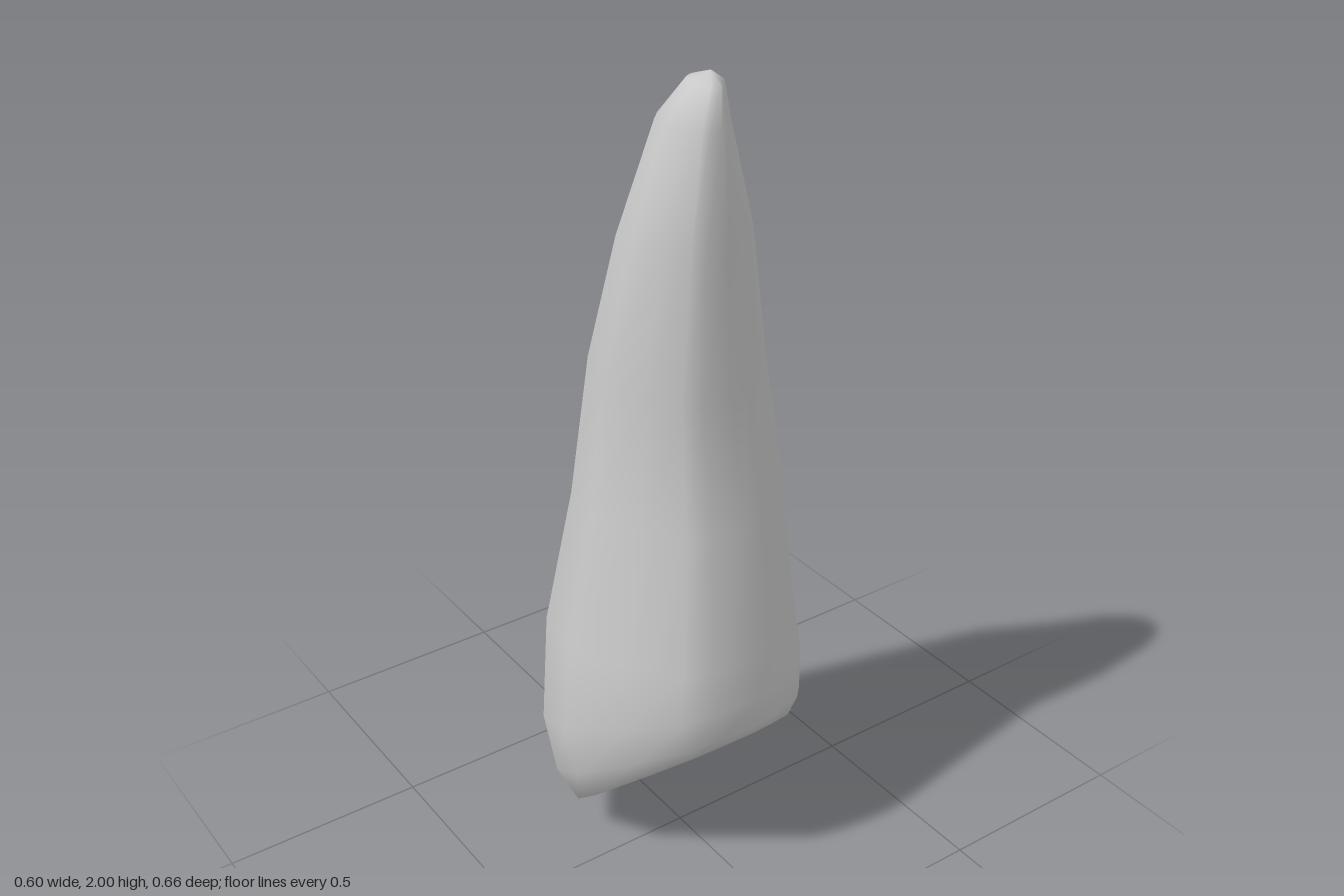
import * as THREE from 'three';

// Outline of the body seen from above, scaled to -1..1 on both axes (x, z)
const SECTION = [
  [-1, -0.3], [-0.83, -0.66], [-0.64, -0.86], [-0.35, -0.99], [-0.06, -1], [0.35, -0.87],
  [0.67, -0.61], [0.91, -0.25], [1, 0], [0.95, 0.32], [0.87, 0.54], [0.52, 0.78],
  [0, 1], [-0.51, 0.9], [-0.83, 0.53], [-1, 0.12],
];

// Rings from the slanted base to the tip: left x, left y, right x, right y, back z, front z
const RINGS = [
  [-0.18, 0.02, 0.22, 0.40, -0.20, 0.19],
  [-0.225, 0.0, 0.27, 0.44, -0.295, 0.265],
  [-0.28, 0.10, 0.297, 0.485, -0.325, 0.305],
  [-0.30, 0.30, 0.30, 0.56, -0.33, 0.33],
  [-0.29, 0.64, 0.293, 0.67, -0.295, 0.31],
  [-0.21, 1.00, 0.252, 1.00, -0.245, 0.255],
  [-0.13, 1.37, 0.222, 1.30, -0.178, 0.23],
  [-0.03, 1.65, 0.24, 1.65, -0.095, 0.20],
  [0.05, 1.90, 0.228, 1.90, -0.01, 0.135],
  [0.11, 1.98, 0.205, 1.98, 0.015, 0.085],
];

function loft(rings, section, bottom, top) {
  const n = section.length;
  const positions = [];
  const index = [];
  for (const [xl, yl, xr, yr, zb, zf] of rings) {
    for (const [u, w] of section) {
      const t = (u + 1) / 2;
      positions.push(
        THREE.MathUtils.lerp(xl, xr, t),
        THREE.MathUtils.lerp(yl, yr, t),
        THREE.MathUtils.lerp(zb, zf, (w + 1) / 2),
      );
    }
  }
  const bottomId = rings.length * n;
  const topId = bottomId + 1;
  positions.push(...bottom, ...top);

  // Walls between neighbouring rings
  for (let i = 0; i < rings.length - 1; i++) {
    for (let j = 0; j < n; j++) {
      const a = i * n + j;
      const b = i * n + ((j + 1) % n);
      index.push(a, a + n, b, b, a + n, b + n);
    }
  }
  // Base and tip caps
  const last = (rings.length - 1) * n;
  for (let j = 0; j < n; j++) {
    const k = (j + 1) % n;
    index.push(bottomId, j, k, topId, last + k, last + j);
  }

  const geometry = new THREE.BufferGeometry();
  geometry.setAttribute('position', new THREE.Float32BufferAttribute(positions, 3));
  geometry.setIndex(index);
  geometry.computeVertexNormals();
  return geometry;
}

export function createModel() {
  const group = new THREE.Group();
  group.name = 'fang';

  // Leaning, tapered body with a slanted base
  const body = new THREE.Mesh(
    loft(RINGS, SECTION, [0.02, 0.205, 0], [0.165, 2.0, 0.045]),
    new THREE.MeshStandardMaterial({ color: 0xcccccc }),
  );
  body.name = 'fangBody';
  group.add(body);
  return group;
}
